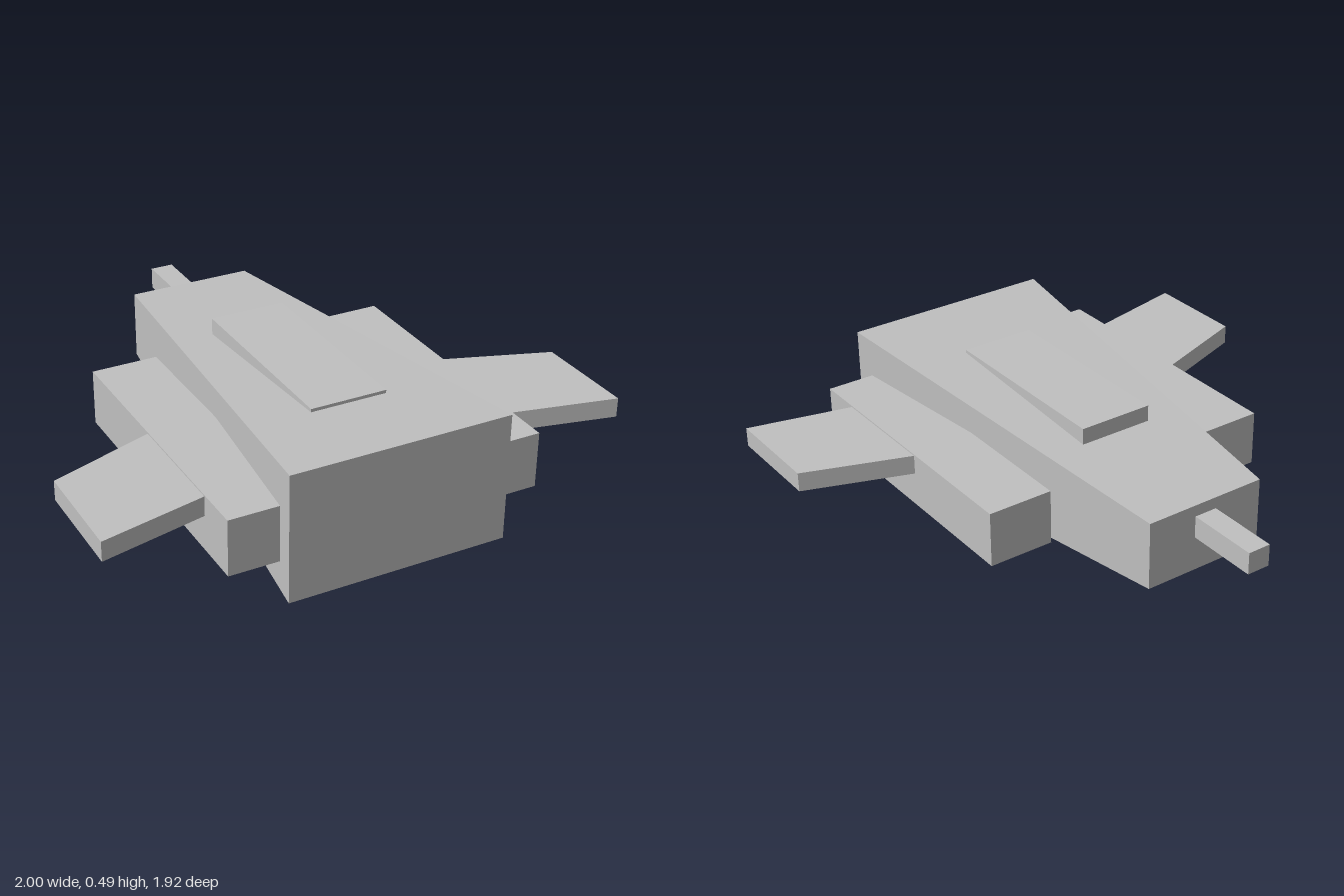
import * as THREE from 'three';

// Six-faced solid from two rectangular sections; each is [x0, x1, y0, y1] at its z
function taperedBlock(front, zFront, back, zBack) {
  const geo = new THREE.BoxGeometry(1, 1, 1);
  const p = geo.attributes.position;
  for (let i = 0; i < p.count; i++) {
    const isFront = p.getZ(i) > 0;
    const s = isFront ? front : back;
    p.setXYZ(i, p.getX(i) > 0 ? s[1] : s[0], p.getY(i) > 0 ? s[3] : s[2], isFront ? zFront : zBack);
  }
  geo.computeVertexNormals();
  return geo;
}

// Straight box given by its limits
function block(x0, x1, y0, y1, z0, z1) {
  return taperedBlock([x0, x1, y0, y1], z1, [x0, x1, y0, y1], z0);
}

// Swept wing: plan outline extruded upward, side is +1 or -1
function wingGeometry(side) {
  const outline = [[0.6, 0.255], [1, 0.395], [1, 0.8], [0.6, 0.71]];
  const shape = new THREE.Shape(outline.map(([x, z]) => new THREE.Vector2(side * x, -z)));
  const geo = new THREE.ExtrudeGeometry(shape, { depth: 0.075, bevelEnabled: false });
  geo.rotateX(-Math.PI / 2);
  geo.translate(0, 0.25, 0);
  return geo;
}

export function createModel() {
  const model = new THREE.Group();
  model.name = 'spacecraft';
  const hullGrey = new THREE.MeshStandardMaterial({ color: 0xc0c0c0, flatShading: true });
  hullGrey.name = 'hullGrey';

  const add = (name, geometry) => {
    const mesh = new THREE.Mesh(geometry, hullGrey);
    mesh.name = name;
    model.add(mesh);
  };

  // Wedge hull, raised deck plate and tail boom
  add('hull', taperedBlock([-0.42, 0.42, 0, 0.49], 0.96, [-0.243, 0.243, 0.115, 0.38], -0.68));
  add('deckPlate', block(-0.147, 0.147, 0.4, 0.478, -0.168, 0.6));
  add('tailBoom', block(-0.045, 0.045, 0.25, 0.335, -0.96, -0.675));

  // Side pods and wings
  for (const [label, side] of [['left', 1], ['right', -1]]) {
    const [x0, x1] = side > 0 ? [0.345, 0.6] : [-0.6, -0.345];
    add(label + 'Pod', block(x0, x1, 0.115, 0.33, -0.245, 0.88));
    add(label + 'Wing', wingGeometry(side));
  }
  return model;
}
